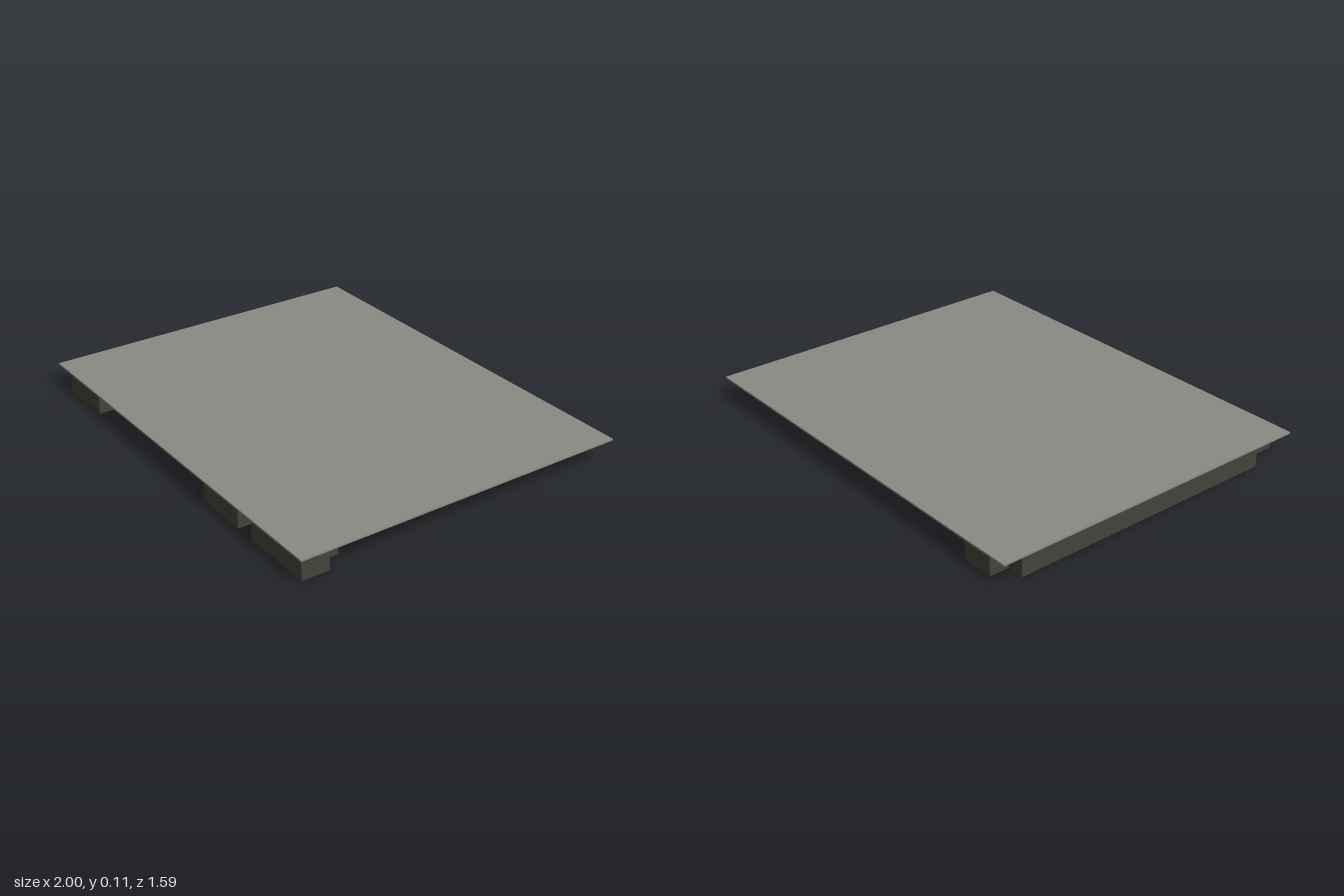
import * as THREE from 'three';

const WALL_HEIGHT = 0.102;
const PLATE_THICKNESS = 0.008;

// Plan outline as [x, z], clockwise from the front left corner
const OUTLINE = [
  [0.98, 0.78], [0.64, 0.78], [0.64, 0.71], [0.54, 0.71], [0.54, 0.78], [0.28, 0.78],
  [0.28, 0.70], [-0.63, 0.70], [-0.63, 0.78], [-0.91, 0.78], [-0.91, 0.61], [-0.98, 0.61],
  [-0.98, -0.69], [-0.90, -0.69], [-0.90, -0.78], [-0.75, -0.78], [-0.75, -0.70],
  [-0.66, -0.70], [-0.66, -0.62], [-0.72, -0.62], [-0.72, -0.52], [-0.62, -0.52],
  [-0.62, -0.415], [0.58, -0.415], [0.58, -0.31], [0.64, -0.31], [0.64, -0.09],
  [0.47, -0.09], [0.47, 0.08], [0.65, 0.08], [0.65, 0.355], [0.79, 0.355],
  [0.79, 0.56], [0.91, 0.56], [0.91, 0.63], [0.95, 0.63], [0.95, 0.65], [0.98, 0.65],
];

// Rectangular openings as [x0, x1, z0, z1]
const OPENINGS = [
  [-0.52, 0.40, -0.35, -0.24],
  [0.08, 0.30, -0.19, -0.10],
  [0.20, 0.42, -0.05, 0.09],
  [-0.48, -0.18, -0.03, 0.14],
  [-0.10, 0.16, 0.13, 0.29],
  [-0.30, 0.28, 0.44, 0.60],
  [-0.88, -0.62, 0.12, 0.32],
  [0.44, 0.68, 0.42, 0.60],
  [-0.54, -0.36, 0.44, 0.60],
  [-0.95, -0.92, -0.50, 0.55],
  [-0.58, -0.42, -0.19, -0.09],
  [-0.88, -0.66, -0.20, 0.00],
  [0.36, 0.56, 0.16, 0.29],
];

const toPoints = (pairs) => pairs.map(([x, z]) => new THREE.Vector2(x, z));

export function createModel() {
  const group = new THREE.Group();
  const plateMaterial = new THREE.MeshStandardMaterial({ color: 0x8b8983 });
  plateMaterial.name = 'warm grey';
  const wallMaterial = new THREE.MeshStandardMaterial({ color: 0x43433a });
  wallMaterial.name = 'dark olive';

  const add = (name, geometry, material, x, y, z) => {
    const mesh = new THREE.Mesh(geometry, material);
    mesh.name = name;
    mesh.position.set(x, y, z);
    group.add(mesh);
  };

  // Thin cover plate
  add('coverPlate', new THREE.BoxGeometry(2, PLATE_THICKNESS, 1.59), plateMaterial,
    0, WALL_HEIGHT + PLATE_THICKNESS / 2, 0);

  // Stepped block with openings, hanging under the plate
  const plan = new THREE.Shape(toPoints(OUTLINE));
  for (const [x0, x1, z0, z1] of OPENINGS) {
    plan.holes.push(new THREE.Path(toPoints([[x0, z0], [x1, z0], [x1, z1], [x0, z1]])));
  }
  const walls = new THREE.ExtrudeGeometry(plan, { depth: WALL_HEIGHT, bevelEnabled: false });
  walls.rotateX(Math.PI / 2);
  add('walls', walls, wallMaterial, 0, WALL_HEIGHT, 0);

  // Small pillars in the central opening
  for (const x of [0.14, 0.19, 0.24]) {
    add('pillar', new THREE.BoxGeometry(0.025, WALL_HEIGHT, 0.04), wallMaterial,
      x, WALL_HEIGHT / 2, -0.145);
  }
  return group;
}
